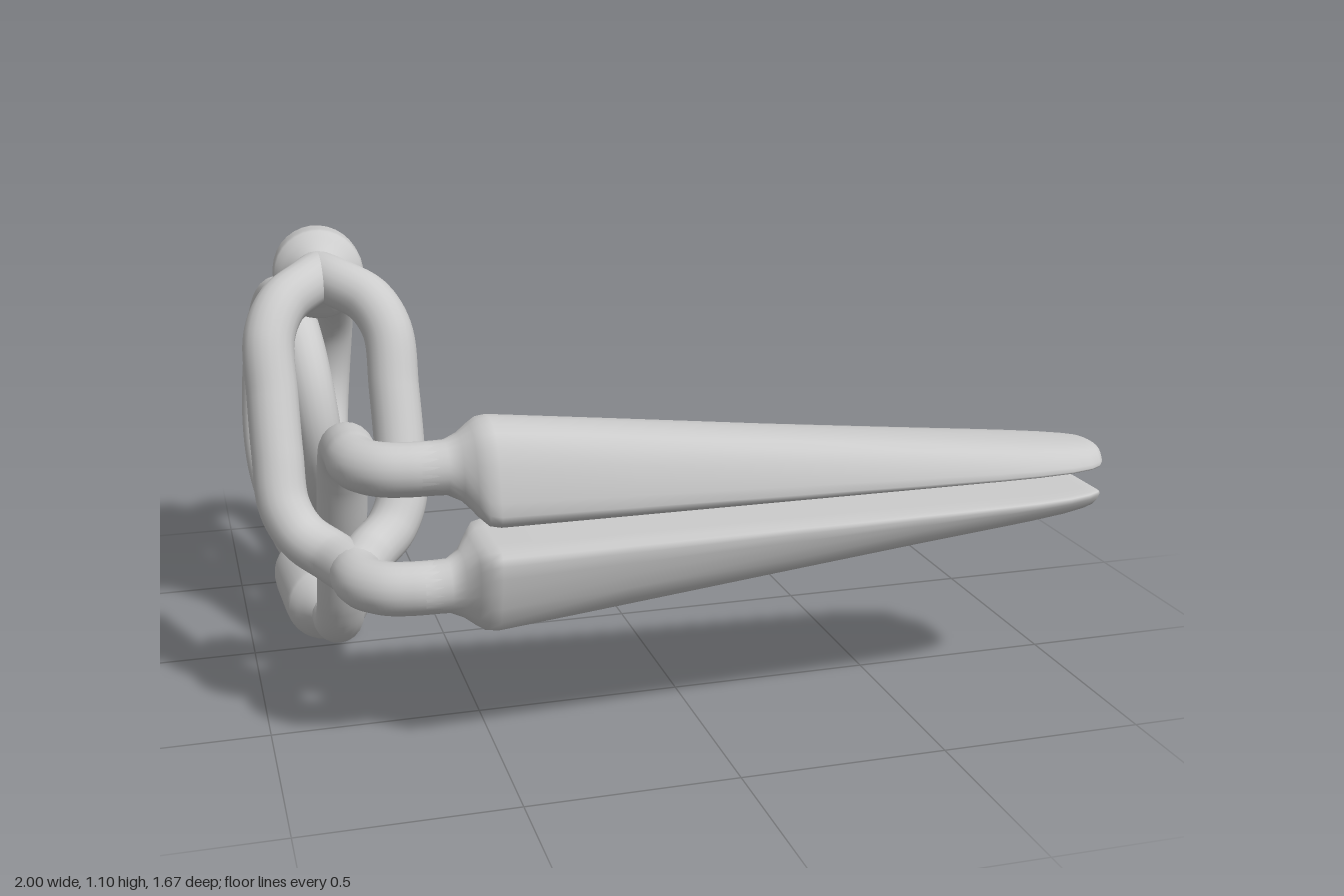
import * as THREE from 'three';

const MID_X = -0.79, MID_Y = 0.56, WIRE = 0.061;
const grey = new THREE.MeshStandardMaterial({ color: 0xcccccc, side: THREE.DoubleSide });
const V = (p) => new THREE.Vector3(...p);

function mesh(name, geometry) {
  const m = new THREE.Mesh(geometry, grey);
  m.name = name;
  return m;
}

// Round wire through a list of points
function wire(name, points, segments = 80) {
  const curve = new THREE.CatmullRomCurve3(points.map(V));
  return mesh(name, new THREE.TubeGeometry(curve, segments, WIRE, 20));
}

const flipY = (pts) => pts.map(([x, y, z]) => [x, 2 * MID_Y - y, z]);
const halfTurn = (pts) => pts.map(([x, y, z]) => [2 * MID_X - x, 2 * MID_Y - y, z]);

// Barrel-shaped sleeve between two points
function sleeve(name, [a, b]) {
  const profile = new THREE.SplineCurve([
    [0.056, 0], [0.066, 0.015], [0.082, 0.035], [0.105, 0.062], [0.113, 0.085], [0.114, 0.17],
    [0.113, 0.262], [0.103, 0.288], [0.08, 0.312], [0.067, 0.328], [0.056, 0.345],
  ].map((p) => new THREE.Vector2(...p))).getPoints(40);
  const m = mesh(name, new THREE.LatheGeometry(profile, 32));
  m.position.copy(V(a));
  m.quaternion.setFromUnitVectors(new THREE.Vector3(0, 1, 0), V(b).sub(V(a)).normalize());
  return m;
}

// Jaw: round stem that flares into a tapering blade with a flat inner face
function jaw(name, lower) {
  const half = [[0, 0], [0.5, 0], [0.88, 0], [0.97, 0.05], [1, 0.13], [0.97, 0.27], [0.92, 0.43],
    [0.84, 0.62], [0.72, 0.8], [0.54, 0.92], [0.3, 0.98], [0, 1]];
  const ring = [...half, ...half.slice(1, -1).reverse().map(([u, v]) => [-u, v])];
  const n = ring.length;
  // x, blend from round to blade, half width, base height, blade height
  const sections = [
    [-0.66, 0, 0.06, 0.64, 0.12], [-0.6, 0, 0.062, 0.638, 0.124], [-0.57, 0.3, 0.08, 0.625, 0.15],
    [-0.545, 0.7, 0.11, 0.603, 0.19], [-0.525, 0.95, 0.13, 0.592, 0.213], [-0.5, 1, 0.135, 0.589, 0.219],
    [-0.2, 1, 0.135, 0.589, 0.185], [0.2, 1, 0.135, 0.589, 0.139], [0.5, 1, 0.135, 0.589, 0.105],
    [0.7, 1, 0.134, 0.589, 0.083], [0.8, 1, 0.13, 0.589, 0.072], [0.89, 1, 0.12, 0.589, 0.062],
    [0.95, 1, 0.103, 0.589, 0.055], [0.98, 1, 0.085, 0.59, 0.05], [0.993, 1, 0.07, 0.595, 0.04],
    [1, 1, 0.045, 0.605, 0.018],
  ];
  const pos = [], index = [];
  for (const [x, t, w, base, h] of sections) {
    ring.forEach(([u, v], i) => {
      const a = (i / n) * Math.PI * 2;
      const uu = THREE.MathUtils.lerp(Math.sin(a), u, t);
      const vv = THREE.MathUtils.lerp(0.5 - 0.5 * Math.cos(a), v, t);
      const y = base + vv * h;
      pos.push(x, lower ? 2 * MID_Y - y : y, 0.7 + uu * w);
    });
  }
  const tri = (a, b, c) => (lower ? index.push(a, c, b) : index.push(a, b, c));
  for (let s = 0; s < sections.length - 1; s++) {
    for (let i = 0; i < n; i++) {
      const a = s * n + i, b = s * n + (i + 1) % n;
      tri(a, a + n, b);
      tri(b, a + n, b + n);
    }
  }
  // Close the tip
  const last = (sections.length - 1) * n;
  for (let i = 1; i < n - 1; i++) tri(last, last + i + 1, last + i);
  const g = new THREE.BufferGeometry();
  g.setAttribute('position', new THREE.Float32BufferAttribute(pos, 3));
  g.setIndex(index);
  g.computeVertexNormals();
  return mesh(name, g);
}

export function createModel() {
  const group = new THREE.Group();
  group.name = 'springClip';

  // Coil spring: upper tail, one full turn, lower tail by half-turn symmetry
  const tail = [[-0.77, 0.985, -0.2], [-0.757, 0.968, -0.3], [-0.73, 0.94, -0.41],
    [-0.705, 0.885, -0.54], [-0.686, 0.795, -0.665], [-0.684, 0.69, -0.745]];
  const turn = [];
  for (let i = 0; i <= 16; i++) {
    const a = (i / 16) * Math.PI * 2;
    turn.push([MID_X + 0.097 - 0.194 * (i / 16), MID_Y - 0.287 * Math.sin(a), -0.485 - 0.287 * Math.cos(a)]);
  }
  group.add(wire('coilSpring', [...tail, ...turn, ...halfTurn(tail).reverse()], 220));

  // Sleeves joining the spring to the crossing arms
  const axis = [[-0.79, 1.01, 0.04], [-0.762, 0.97, -0.3]];
  group.add(sleeve('upperSleeve', axis), sleeve('lowerSleeve', halfTurn(axis)));

  // Arm centre line: sideways spread, y, z
  const path = [[0, 1.0, -0.08], [0, 1.01, 0.02], [0.035, 1.003, 0.09], [0.105, 0.968, 0.155],
    [0.142, 0.9, 0.205], [0.145, 0.77, 0.26], [0.145, 0.64, 0.315], [0.14, 0.53, 0.363],
    [0.105, 0.465, 0.405], [0.045, 0.43, 0.465], [0, 0.42, 0.56]];
  // Bend from the arm into the jaw stem
  const bend = [[MID_X, 0.42, 0.6], [-0.774, 0.42, 0.645], [-0.735, 0.42, 0.682],
    [-0.68, 0.42, 0.697], [-0.58, 0.42, 0.7]];
  const armLine = (spread) => path.map(([x, y, z]) => [MID_X + spread * x, y, z]);

  // Split arm forms a window that the single arm passes through
  group.add(wire('splitArmLeft', armLine(1)), wire('splitArmRight', armLine(-1)));
  group.add(wire('lowerStem', [[MID_X, 0.42, 0.53], ...bend], 40));
  group.add(wire('singleArm', flipY([...armLine(0), ...bend]), 120));

  group.add(jaw('upperJaw', false), jaw('lowerJaw', true));
  return group;
}
